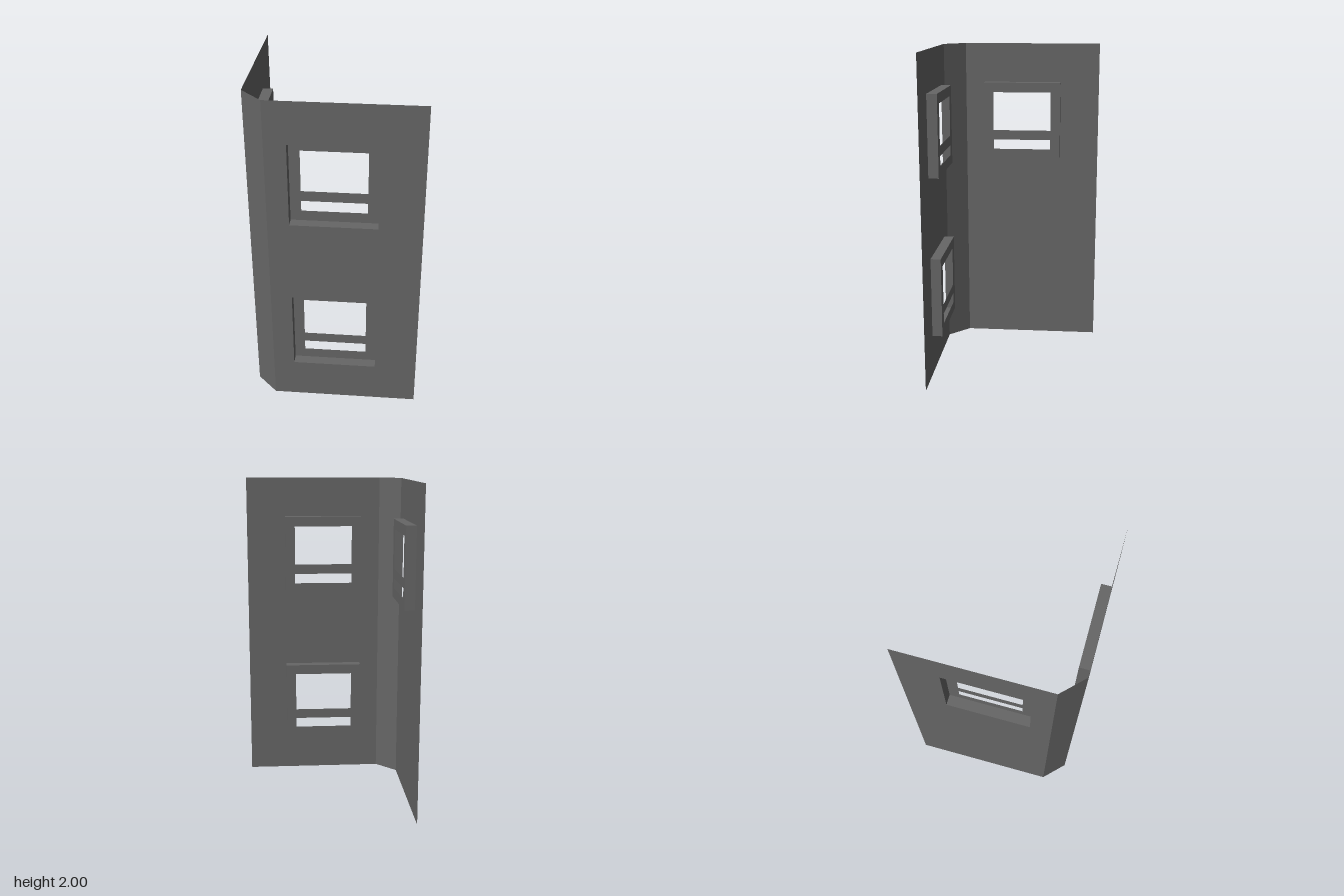
import * as THREE from 'three';

const HALF = 0.25;      // half width of a window recess
const DEPTH = 0.0625;   // recess depth
const CUT = 0.375;      // where the chamfered corner starts

const wallGrey = new THREE.MeshStandardMaterial({ color: 0x666666, flatShading: true, side: THREE.DoubleSide });
wallGrey.name = 'wallGrey';

// Adds a rectangle outline to a shape or path
function rect(path, x0, y0, x1, y1) {
  path.moveTo(x0, y0);
  path.lineTo(x1, y0);
  path.lineTo(x1, y1);
  path.lineTo(x0, y1);
  path.closePath();
  return path;
}

// Thin sheet with rectangular holes, each given as [x0, y0, x1, y1]
function sheet(name, outline, holes) {
  const shape = rect(new THREE.Shape(), ...outline);
  for (const h of holes) shape.holes.push(rect(new THREE.Path(), ...h));
  const mesh = new THREE.Mesh(new THREE.ShapeGeometry(shape), wallGrey);
  mesh.name = name;
  return mesh;
}

// Recessed window: square reveal plus a sash frame with two openings
function windowRecess(y) {
  const g = new THREE.Group();
  g.name = 'window';
  const tube = new THREE.CylinderGeometry(HALF * Math.SQRT2, HALF * Math.SQRT2, DEPTH, 4, 1, true, Math.PI / 4);
  tube.rotateX(Math.PI / 2);
  const reveal = new THREE.Mesh(tube, wallGrey);
  reveal.name = 'windowReveal';
  reveal.position.z = -DEPTH / 2;
  const frame = sheet('windowFrame', [-HALF, -HALF, HALF, HALF], [
    [-0.1875, -0.1875, 0.1875, -0.125],
    [-0.1875, -0.0625, 0.1875, 0.1875],
  ]);
  frame.position.z = -DEPTH;
  g.add(reveal, frame);
  g.position.y = y;
  return g;
}

// Wall facing +z with windows centred at the given heights
function wall(name, x0, x1, heights) {
  const g = new THREE.Group();
  g.name = name;
  g.add(sheet(name + 'Panel', [x0, 0, x1, 2], heights.map((y) => [-HALF, y - HALF, HALF, y + HALF])));
  for (const y of heights) g.add(windowRecess(y));
  return g;
}

export function createModel() {
  const model = new THREE.Group();
  model.name = 'cornerWall';

  const front = wall('frontWall', -CUT, 0.5, [0.5, 1.5]);
  front.position.z = 0.5;

  const side = wall('sideWall', -0.5, CUT, [1.5]);
  side.rotation.y = -Math.PI / 2;
  side.position.x = -0.5;

  // Chamfered strip joining the two walls
  const corner = new THREE.Mesh(new THREE.PlaneGeometry((0.5 - CUT) * Math.SQRT2, 2), wallGrey);
  corner.name = 'chamferedCorner';
  corner.rotation.y = -Math.PI / 4;
  corner.position.set(-(0.5 + CUT) / 2, 1, (0.5 + CUT) / 2);

  model.add(front, side, corner);
  return model;
}
